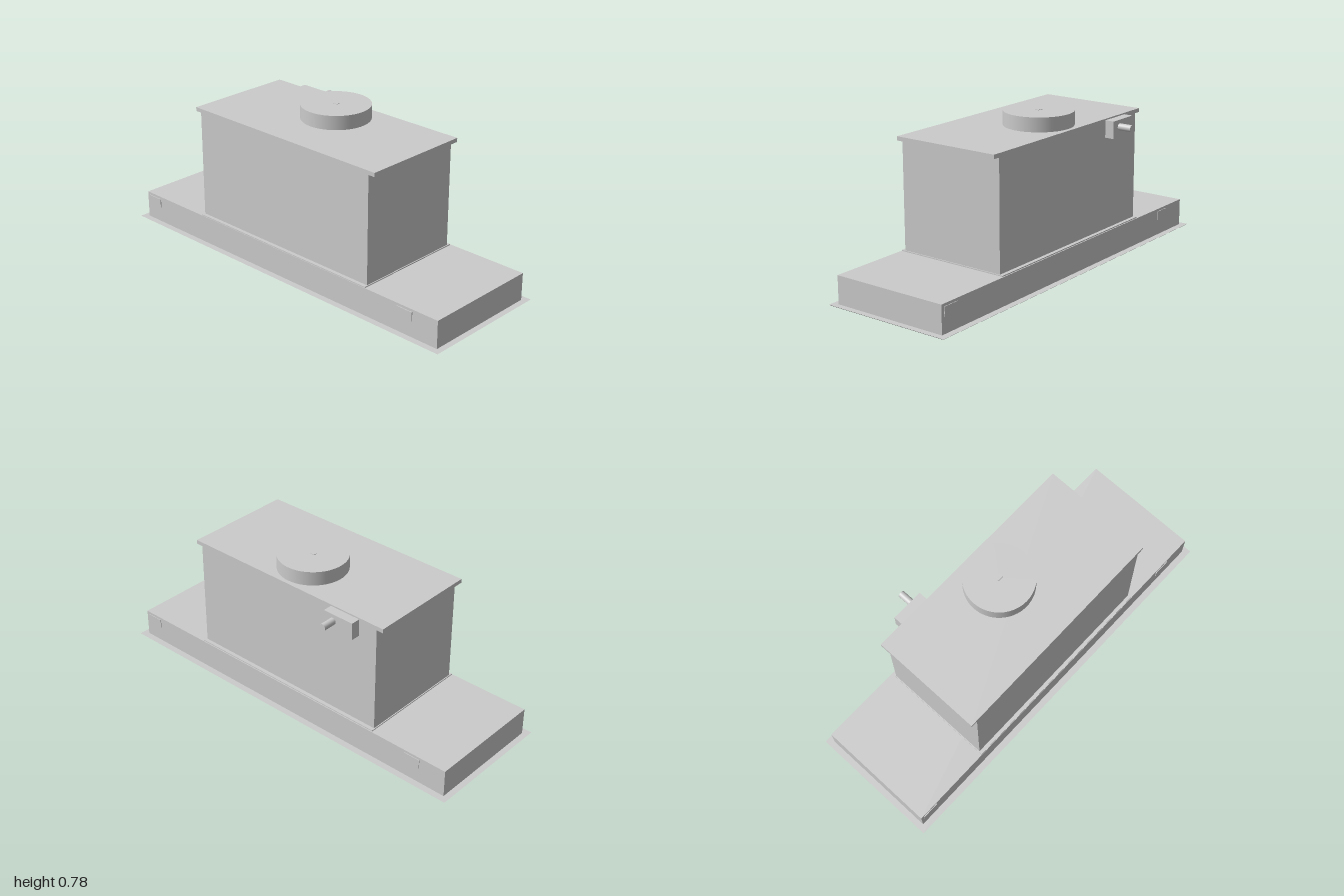
import * as THREE from 'three';

export function createModel() {
  const model = new THREE.Group();
  const grey = new THREE.MeshStandardMaterial({ color: 0xcccccc });

  const add = (name, geometry, x = 0, y = 0, z = 0) => {
    const mesh = new THREE.Mesh(geometry, grey);
    mesh.name = name;
    mesh.position.set(x, y, z);
    model.add(mesh);
    return mesh;
  };
  // Box given by its extents on each axis
  const box = (name, x0, x1, y0, y1, z0, z1) =>
    add(name, new THREE.BoxGeometry(x1 - x0, y1 - y0, z1 - z0),
      (x0 + x1) / 2, (y0 + y1) / 2, (z0 + z1) / 2);

  // Face plate, its edge tapering in toward the underside
  const plate = new THREE.BoxGeometry(2, 0.006, 0.67);
  const p = plate.attributes.position;
  for (let i = 0; i < p.count; i++) {
    if (p.getY(i) < 0) {
      p.setX(i, p.getX(i) - Math.sign(p.getX(i)) * 0.008);
      p.setZ(i, p.getZ(i) - Math.sign(p.getZ(i)) * 0.008);
    }
  }
  plate.computeVertexNormals();
  add('facePlate', plate, 0, 0.009, 0.03);

  // Wide canopy, seam flange, motor housing and overhanging lid
  box('canopy', -0.97, 0.97, 0.011, 0.15, -0.272, 0.333);
  box('housingFlange', -0.55, 0.55, 0.149, 0.155, -0.267, 0.331);
  box('motorHousing', -0.545, 0.545, 0.15, 0.692, -0.248, 0.313);
  box('lid', -0.58, 0.58, 0.69, 0.71, -0.248, 0.313);

  // Round duct outlet with a small flap pin
  add('ductOutlet', new THREE.CylinderGeometry(0.17, 0.17, 0.07, 64), 0, 0.745, -0.057);
  box('flapPin', -0.015, 0.015, 0.779, 0.782, -0.067, -0.047);

  // Cable box on the back with its gland
  box('cableBox', -0.445, -0.28, 0.617, 0.703, -0.295, -0.248);
  const gland = add('cableGland', new THREE.CylinderGeometry(0.017, 0.017, 0.072, 24), -0.333, 0.668, -0.329);
  gland.rotation.x = Math.PI / 2;

  // Mounting clips on the front and back of the canopy
  for (const x of [-0.91, 0.785]) {
    box('frontClip', x - 0.043, x + 0.043, 0.091, 0.137, 0.33, 0.337);
    box('backClip', -x - 0.043, -x + 0.043, 0.091, 0.137, -0.275, -0.27);
  }

  // Two filter panels below, with a handle frame on each
  for (const side of [-1, 1]) {
    const cx = side * 0.394;
    box('filterPanel', cx - 0.39, cx + 0.39, 0.004, 0.0065, -0.23, 0.29);
    const frame = new THREE.Shape()
      .moveTo(-0.05, -0.03).lineTo(0.05, -0.03).lineTo(0.05, 0.03).lineTo(-0.05, 0.03).closePath();
    frame.holes.push(new THREE.Path()
      .moveTo(-0.04, -0.02).lineTo(-0.04, 0.02).lineTo(0.04, 0.02).lineTo(0.04, -0.02).closePath());
    const handle = add('filterHandle',
      new THREE.ExtrudeGeometry(frame, { depth: 0.002, bevelEnabled: false }), cx, 0.0045, 0.2);
    handle.rotation.x = Math.PI / 2;
  }

  // Lamps near the corners: a lens inside a raised ring
  for (const x of [-0.9, 0.9]) {
    for (const z of [-0.18, 0.235]) {
      add('lampLens', new THREE.CylinderGeometry(0.045, 0.045, 0.002, 32), x, 0.0055, z);
      const ring = new THREE.Shape().absarc(0, 0, 0.06, 0, Math.PI * 2);
      ring.holes.push(new THREE.Path().absarc(0, 0, 0.049, 0, Math.PI * 2, true));
      const rim = add('lampRing', new THREE.ExtrudeGeometry(ring,
        { depth: 0.004, bevelEnabled: false, curveSegments: 24 }), x, 0.0065, z);
      rim.rotation.x = Math.PI / 2;
    }
  }

  // Row of control buttons
  for (let i = 0; i < 6; i++) {
    add('controlButton', new THREE.CylinderGeometry(0.01, 0.01, 0.007, 16), 0.815, 0.0035, -0.137 + i * 0.067);
  }

  return model;
}
